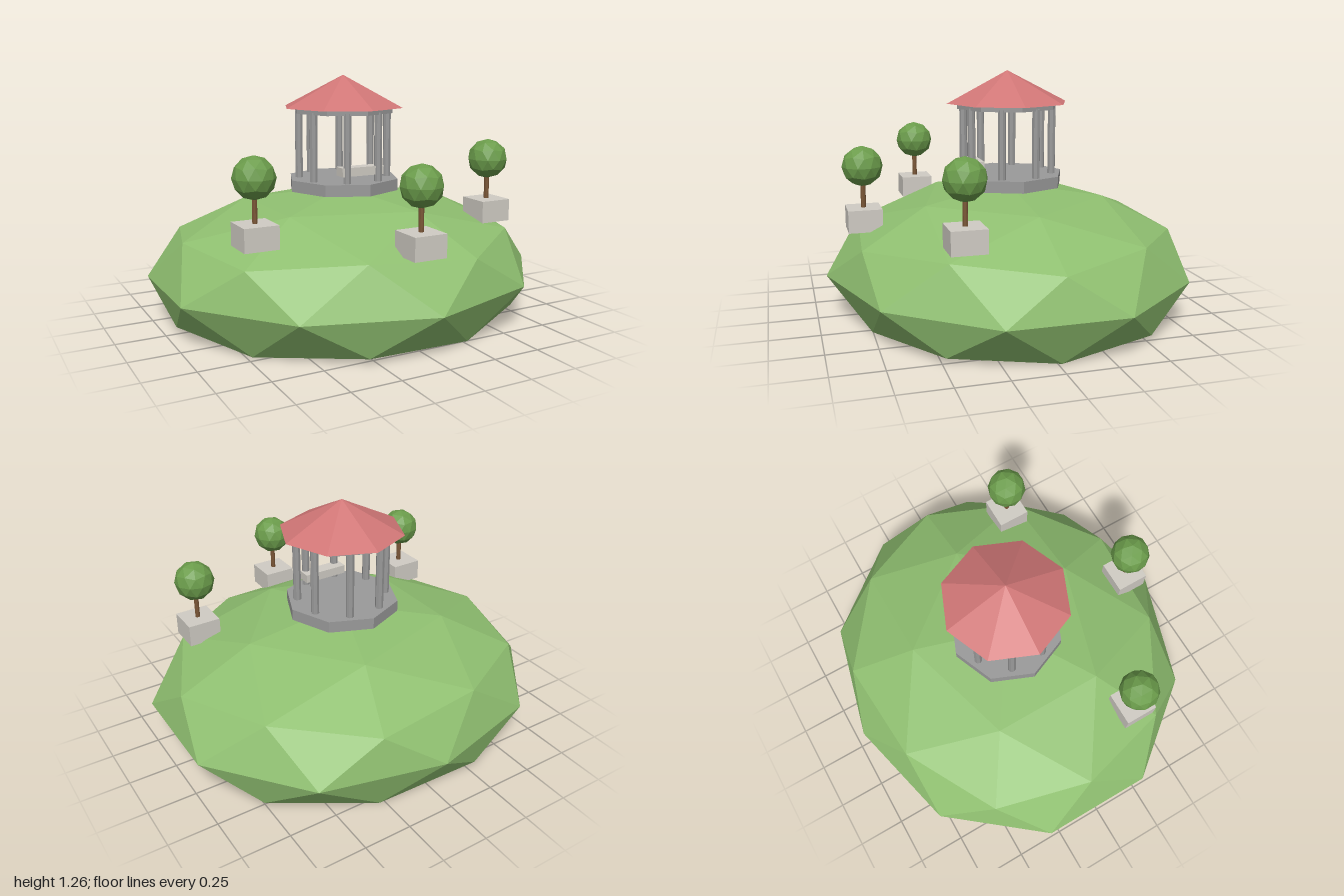
import * as THREE from 'three';

const CENTRE_Z = -0.02; // hilltop axis shared by the hill and the pavilion

const material = (color) => new THREE.MeshStandardMaterial({ color, flatShading: true });

function addMesh(parent, name, geometry, mat, x, y, z) {
  const mesh = new THREE.Mesh(geometry, mat);
  mesh.name = name;
  mesh.position.set(x, y, z);
  parent.add(mesh);
  return mesh;
}

// 80-sided ball turned so that one icosahedron corner points straight up
function poleBall(radius) {
  const g = new THREE.IcosahedronGeometry(radius, 1);
  g.rotateZ(-Math.atan(2 / (1 + Math.sqrt(5))));
  return g;
}

// Squashed ball whose underside is pressed flat onto the ground
function hillGeometry() {
  const middle = 0.225;
  const g = poleBall(1);
  g.scale(1.051, 0.438, 0.955);
  g.translate(0, middle, CENTRE_Z);
  const p = g.attributes.position;
  for (let i = 0; i < p.count; i++) {
    p.setY(i, Math.max(0, p.getY(i)));
    // front and back tips of the widest ring sit at equal distance
    if (Math.abs(p.getX(i)) < 0.02 && Math.abs(p.getY(i) - middle) < 0.02) {
      p.setZ(i, Math.sign(p.getZ(i)) * 0.948);
    }
  }
  g.computeVertexNormals();
  return g;
}

function createPavilion(stone, paleStone, roofRed) {
  const pavilion = new THREE.Group();
  pavilion.name = 'pavilion';
  pavilion.position.z = CENTRE_Z;

  addMesh(pavilion, 'platform', new THREE.CylinderGeometry(0.3, 0.3, 0.06, 8), stone, 0, 0.69, 0);

  // Columns stand midway along the octagon's sides
  const columnGeometry = new THREE.CylinderGeometry(0.021, 0.021, 0.36, 8);
  for (let i = 0; i < 8; i++) {
    const a = ((i + 0.5) * Math.PI) / 4;
    addMesh(pavilion, 'column', columnGeometry, stone, 0.235 * Math.sin(a), 0.895, 0.235 * Math.cos(a));
  }

  addMesh(pavilion, 'beam', new THREE.CylinderGeometry(0.27, 0.27, 0.03, 8), stone, 0, 1.08, 0);
  addMesh(pavilion, 'roof', new THREE.ConeGeometry(0.325, 0.167, 8), roofRed, 0, 1.176, 0);
  addMesh(pavilion, 'bench', new THREE.BoxGeometry(0.24, 0.045, 0.07), paleStone, 0, 0.778, 0.19);
  return pavilion;
}

// Planter box with a trunk and a round crown; y is the planter's underside
function createTree(x, y, z, mats) {
  const tree = new THREE.Group();
  tree.name = 'plantedTree';
  tree.position.set(x, y, z);
  addMesh(tree, 'planter', new THREE.BoxGeometry(0.173, 0.115, 0.173), mats.paleStone, 0, 0.0575, 0);
  addMesh(tree, 'trunk', new THREE.CylinderGeometry(0.013, 0.013, 0.18, 8), mats.bark, 0, 0.18, 0);
  addMesh(tree, 'crown', poleBall(0.104), mats.leaf, 0, 0.328, 0);
  return tree;
}

export function createModel() {
  const model = new THREE.Group();
  model.name = 'hilltopPavilion';
  const mats = {
    grass: material(0x8fbf70),
    stone: material(0x9a9a9a),
    paleStone: material(0xd0ccc4),
    roof: material(0xd07676),
    bark: material(0x7a5636),
    leaf: material(0x6b9c4b),
  };

  addMesh(model, 'hill', hillGeometry(), mats.grass, 0, 0, 0);
  model.add(createPavilion(mats.stone, mats.paleStone, mats.roof));

  // One tree in front and one at each side
  model.add(createTree(0, 0.46, 0.747, mats));
  for (const side of [-1, 1]) model.add(createTree(side * 0.662, 0.493, 0.367, mats));
  return model;
}
